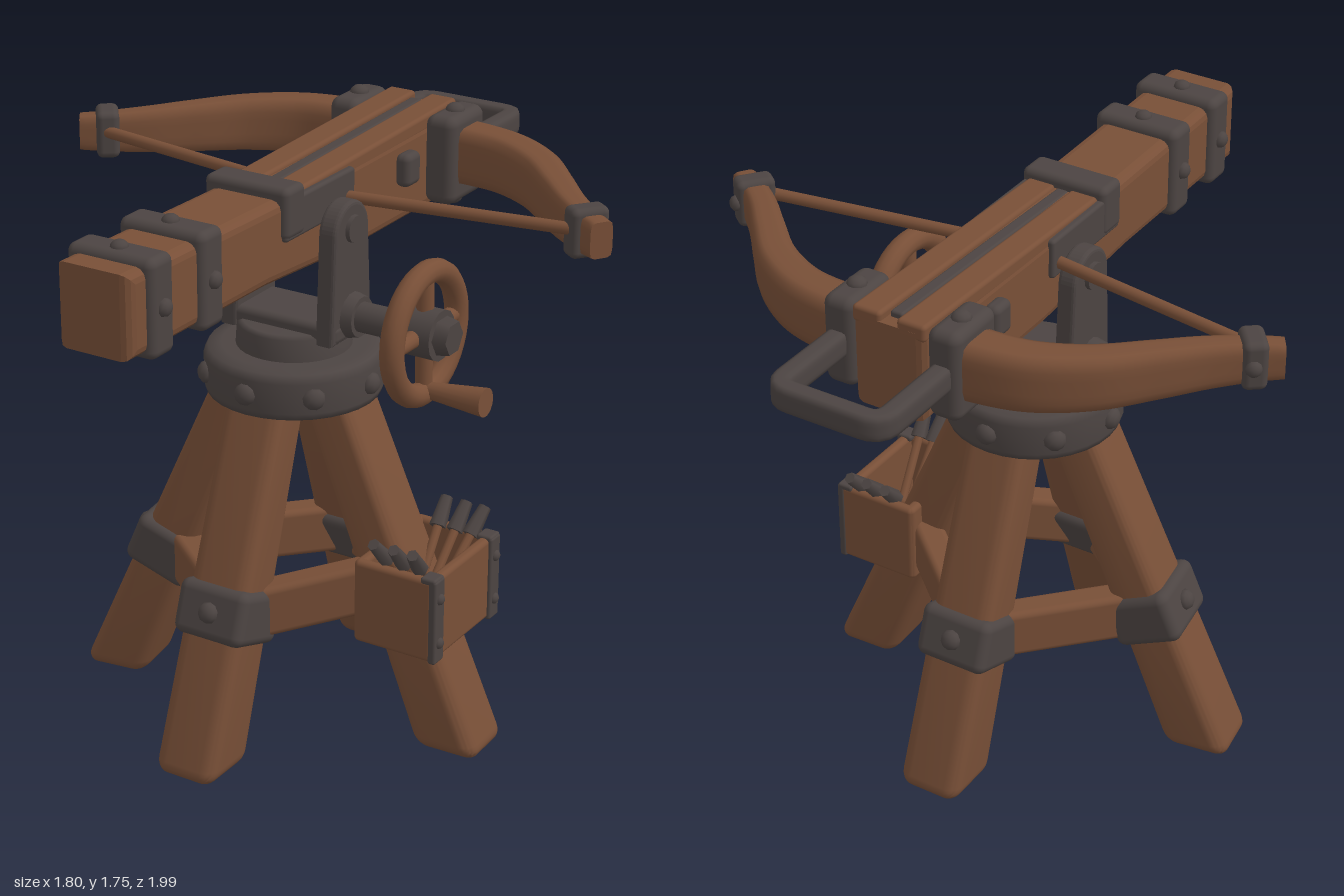
import * as THREE from 'three';
import { RoundedBoxGeometry } from 'three/addons/geometries/RoundedBoxGeometry.js';
import { toCreasedNormals } from 'three/addons/utils/BufferGeometryUtils.js';

const V = (x, y, z) => new THREE.Vector3(x, y, z);

export function createModel() {
  const root = new THREE.Group();
  const material = (name, color) => Object.assign(new THREE.MeshStandardMaterial({ color }), { name });
  const wood = material('wood', 0x784f37);
  const iron = material('iron', 0x4c4442);

  const add = (name, geo, mat, pos = [0, 0, 0], parent = root) => {
    const m = new THREE.Mesh(geo, mat);
    m.name = name;
    m.position.set(...pos);
    parent.add(m);
    return m;
  };
  const group = (name) => {
    const g = new THREE.Group();
    g.name = name;
    root.add(g);
    return g;
  };
  const block = (name, size, pos, mat, parent = root, r = 0.02) =>
    add(name, new RoundedBoxGeometry(...size, 3, Math.min(r, ...size.map((s) => s * 0.45))), mat, pos, parent);
  // round bar from a to b
  const rod = (name, a, b, r0, r1, mat, parent = root, sides = 14) => {
    const d = b.clone().sub(a);
    const m = add(name, new THREE.CylinderGeometry(r1, r0, d.length(), sides), mat,
      a.clone().add(b).multiplyScalar(0.5).toArray(), parent);
    m.quaternion.setFromUnitVectors(V(0, 1, 0), d.normalize());
    return m;
  };
  // domed rivet pointing along dir
  const rivet = (pos, dir, parent = root, r = 0.028) => {
    const m = add('rivet', new THREE.SphereGeometry(r, 10, 6), iron, pos.toArray(), parent);
    m.scale.y = 0.8;
    m.quaternion.setFromUnitVectors(V(0, 1, 0), dir.clone().normalize());
  };
  // side profile given as [z, y], extruded to a width centred on x
  const sideExtrude = (shape, width, bevel) => {
    const geo = new THREE.ExtrudeGeometry(shape, {
      depth: width - 2 * bevel, bevelEnabled: true, bevelSize: bevel, bevelThickness: bevel,
      bevelOffset: -bevel, bevelSegments: 3, curveSegments: 12,
    });
    return geo.translate(0, 0, bevel - width / 2).rotateY(-Math.PI / 2);
  };
  // soft-cornered square section swept along a level curve
  const sweep = (curve, thick, high) => {
    const geo = new THREE.CylinderGeometry(1, 1, 1, 24, 48);
    const p = geo.attributes.position;
    for (let i = 0; i < p.count; i++) {
      const u = p.getY(i) + 0.5, x = p.getX(i), z = p.getZ(i);
      const k = (x ** 6 + z ** 6) ** (1 / 6) || 1;
      const side = curve.getTangentAt(u).cross(V(0, 1, 0)).normalize();
      const q = curve.getPointAt(u).addScaledVector(side, (x / k) * thick(u) / 2);
      p.setXYZ(i, q.x, q.y + (z / k) * high(u) / 2, q.z);
    }
    geo.computeVertexNormals();
    return geo;
  };

  // four splayed legs, cut flat at the floor; three carry clamps
  const baseZ = 0.035;
  [['rightLeg', 2, 0.57], ['backLeg', 90, 0.515], ['leftLeg', 188, 0.58], ['frontLeg', 270, 0.515]]
    .forEach(([name, deg, foot], i) => {
      const slope = foot - 0.165;
      const g = group(name);
      g.position.z = baseZ;
      g.rotation.y = THREE.MathUtils.degToRad(deg);
      const geo = new RoundedBoxGeometry(0.21, 1.08, 0.205, 4, 0.045).translate(0, 0.54, 0);
      const p = geo.attributes.position;
      for (let k = 0; k < p.count; k++) {
        const y = p.getY(k);
        p.setX(k, p.getX(k) * (1 - 0.25 * y) + foot - slope * y);
        p.setZ(k, p.getZ(k) * (1 - 0.06 * y));
      }
      add('post', toCreasedNormals(geo, Math.PI / 3), wood, [0, 0, 0], g);
      if (i === 0) return;
      const clamp = new THREE.Group();
      clamp.name = 'legClamp';
      clamp.position.set(foot - slope * 0.45, 0.45, 0);
      clamp.rotation.z = Math.atan(slope);
      g.add(clamp);
      block('clampBand', [0.215, 0.165, 0.235], [0, 0, 0], iron, clamp, 0.03);
      rivet(V(0.107, 0, 0), V(1, 0, 0), clamp, 0.032);
    });

  // cross braces between neighbouring legs
  [[V(0, 0.44, 0.39), V(-0.39, 0.44, 0.09)], [V(-0.39, 0.44, 0.09), V(0, 0.44, -0.32)],
    [V(0, 0.43, 0.39), V(0.4, 0.53, 0.06)], [V(0, 0.43, -0.32), V(0.4, 0.51, 0)]].forEach(([a, b]) => {
    const mid = a.clone().add(b).multiplyScalar(0.5);
    block('crossBrace', [0.09, 0.155, a.distanceTo(b)], mid.toArray(), wood).lookAt(b);
  });

  // swivel collar and turntable
  const lathe = (pts) => new THREE.LatheGeometry(pts.map(([r, y]) => new THREE.Vector2(r, y)), 32);
  add('collar', lathe([[0, 1.02], [0.23, 1.02], [0.255, 1.03], [0.262, 1.05], [0.262, 1.14],
    [0.25, 1.165], [0.21, 1.17], [0, 1.17]]), iron, [0, 0, baseZ]);
  add('turntable', lathe([[0.17, 1.16], [0.165, 1.235], [0.15, 1.245], [0, 1.245]]), iron, [0, 0, baseZ]);
  for (let i = 0; i < 8; i++) {
    const d = V(Math.sin(i * Math.PI / 4), 0, Math.cos(i * Math.PI / 4));
    rivet(d.clone().multiplyScalar(0.258).add(V(0, 1.095, baseZ)), d, root, 0.034);
  }

  // yoke holding the stock
  const yoke = group('yoke');
  block('yokeBase', [0.39, 0.06, 0.2], [0, 1.25, 0.03], iron, yoke);
  const arm = new THREE.Shape();
  arm.moveTo(-0.08, 1.22);
  arm.lineTo(0.135, 1.22);
  arm.lineTo(0.12, 1.54);
  arm.absarc(0.03, 1.54, 0.09, 0, Math.PI, false);
  arm.lineTo(-0.08, 1.22);
  [-1, 1].forEach((s) => {
    add('yokeArm', sideExtrude(arm, 0.06, 0.012), iron, [s * 0.162, 0, 0], yoke);
    rod('pivotPin', V(s * 0.1, 1.55, 0.03), V(s * 0.205, 1.55, 0.03), 0.045, 0.04, iron, yoke);
  });
  rod('leftBoss', V(-0.18, 1.29, 0.03), V(-0.235, 1.29, 0.03), 0.055, 0.045, iron, yoke);

  // crank wheel
  const crank = group('crankWheel');
  rod('axle', V(0.18, 1.29, 0.03), V(0.5, 1.29, 0.03), 0.045, 0.045, iron, crank);
  rod('axleFlange', V(0.185, 1.29, 0.03), V(0.225, 1.29, 0.03), 0.07, 0.06, iron, crank);
  rod('hub', V(0.37, 1.29, 0.03), V(0.485, 1.29, 0.03), 0.075, 0.075, iron, crank);
  rod('hubNut', V(0.485, 1.29, 0.03), V(0.525, 1.29, 0.03), 0.058, 0.05, iron, crank, 6);
  add('rim', new THREE.TorusGeometry(0.18, 0.035, 12, 40).rotateY(Math.PI / 2), wood, [0.43, 1.285, 0.03], crank);
  for (let i = 0; i < 4; i++) {
    const a = i * Math.PI / 2;
    rod('spoke', V(0.43, 1.29, 0.03), V(0.43, 1.29 + 0.18 * Math.cos(a), 0.03 + 0.18 * Math.sin(a)),
      0.027, 0.024, wood, crank);
  }
  rod('grip', V(0.44, 1.115, 0.03), V(0.63, 1.12, 0.03), 0.024, 0.043, wood, crank);

  // stock with raised top rails and bolt groove
  const stock = group('stock');
  const profile = new THREE.Shape([[0.995, 1.465], [0.995, 1.705], [0.2, 1.69], [-0.69, 1.7], [-0.69, 1.43],
    [-0.1, 1.43], [0.35, 1.46]].reverse().map(([z, y]) => new THREE.Vector2(z, y)));
  add('beam', sideExtrude(profile, 0.235, 0.03), wood, [0, 0, 0], stock);
  [-1, 1].forEach((s) => {
    block('topRail', [0.09, 0.05, 0.88], [s * 0.07, 1.688, -0.25], wood, stock, 0.012).rotation.x = 0.03;
  });
  block('boltGroove', [0.04, 0.05, 0.84], [0, 1.68, -0.23], iron, stock, 0.008).rotation.x = 0.03;

  // iron bands around the stock
  [0.64, 0.87].forEach((z) => {
    block('stockBand', [0.275, 0.28, 0.105], [0, 1.585, z], iron, stock, 0.025);
    [V(0, 1, 0), V(0, -1, 0), V(1, 0, 0), V(-1, 0, 0)].forEach((d) =>
      rivet(V(d.x * 0.138, 1.585 + d.y * 0.138, z), d, stock, 0.026));
  });
  block('breechBand', [0.275, 0.15, 0.1], [0, 1.65, 0.235], iron, stock);
  [-1, 1].forEach((s) => {
    block('cheekPlate', [0.03, 0.12, 0.36], [s * 0.118, 1.63, 0.1], iron, stock, 0.01);
    block('sideLug', [0.05, 0.1, 0.08], [s * 0.135, 1.6, -0.37], iron, stock);
  });

  // bow: limbs, root brackets, tip bands and string
  const bow = group('bow');
  [-1, 1].forEach((s) => {
    const curve = new THREE.CatmullRomCurve3([[0.08, -0.595], [0.22, -0.595], [0.36, -0.57], [0.5, -0.49],
      [0.62, -0.37], [0.72, -0.265], [0.82, -0.18], [0.88, -0.14]].map(([x, z]) => V(s * x, 1.598, z)));
    add('limb', sweep(curve, (u) => 0.15 - 0.08 * u, (u) => 0.175 - 0.07 * u * u), wood, [0, 0, 0], bow);
    block('limbBracket', [0.1, 0.27, 0.2], [s * 0.165, 1.59, -0.59], iron, bow, 0.03);
    [1, -1].forEach((v) => rivet(V(s * 0.165, 1.59 + v * 0.132, -0.59), V(0, v, 0), bow, 0.03));
    const tip = block('tipBand', [0.07, 0.145, 0.115], [s * 0.81, 1.6, -0.185], iron, bow);
    tip.rotation.y = s * -0.66;
    rivet(V(s * 0.84, 1.6, -0.235), V(s * 0.6, 0, -0.8), bow, 0.024);
    rod('string', V(s * 0.79, 1.61, -0.15), V(s * 0.1, 1.61, -0.04), 0.018, 0.018, wood, bow);
  });

  // rear carrying handle
  const bar = new THREE.CurvePath();
  const corners = [V(-0.165, 1.59, -0.66), V(-0.165, 1.59, -0.92), V(-0.115, 1.59, -0.97),
    V(0.115, 1.59, -0.97), V(0.165, 1.59, -0.92), V(0.165, 1.59, -0.66)];
  bar.add(new THREE.LineCurve3(corners[0], corners[1]));
  bar.add(new THREE.QuadraticBezierCurve3(corners[1], V(-0.165, 1.59, -0.97), corners[2]));
  bar.add(new THREE.LineCurve3(corners[2], corners[3]));
  bar.add(new THREE.QuadraticBezierCurve3(corners[3], V(0.165, 1.59, -0.97), corners[4]));
  bar.add(new THREE.LineCurve3(corners[4], corners[5]));
  add('rearHandle', sweep(bar, () => 0.058, () => 0.075), iron);

  // open ammunition box on the right leg
  const crate = group('ammoBox');
  const cx = 0.465, cz = 0.06;
  block('boxFloor', [0.26, 0.04, 0.36], [cx, 0.4, cz], wood, crate);
  [-1, 1].forEach((s) => {
    block('boxSide', [0.035, 0.26, 0.37], [cx + s * 0.115, 0.51, cz], wood, crate, 0.015);
    block('boxEnd', [0.26, 0.26, 0.035], [cx, 0.51, cz + s * 0.17], wood, crate, 0.015);
    block('boxStrap', [0.025, 0.265, 0.055], [cx + 0.13, 0.51, cz + s * 0.162], iron, crate, 0.008);
    block('strapTop', [0.05, 0.02, 0.055], [cx + 0.115, 0.637, cz + s * 0.162], iron, crate, 0.008);
    [0.44, 0.58].forEach((y) => rivet(V(cx + 0.14, y, cz + s * 0.162), V(1, 0, 0), crate, 0.018));
  });

  // spare bolts fanned out at both ends of the box
  [[1, 0.71], [-1, 0.69]].forEach(([s, top]) => [-0.05, 0.015, 0.075].forEach((x) => {
    const a = V(cx + x * 0.4, 0.43, cz - s * 0.05), b = V(cx + x, top, cz + s * 0.2);
    const d = b.clone().sub(a).normalize();
    rod('spareBolt', a, b, 0.014, 0.014, wood, crate, 8);
    rod('boltHead', b.clone().addScaledVector(d, -0.08), b.clone().addScaledVector(d, 0.015), 0.026, 0.018, iron, crate, 6);
  }));

  return root;
}
